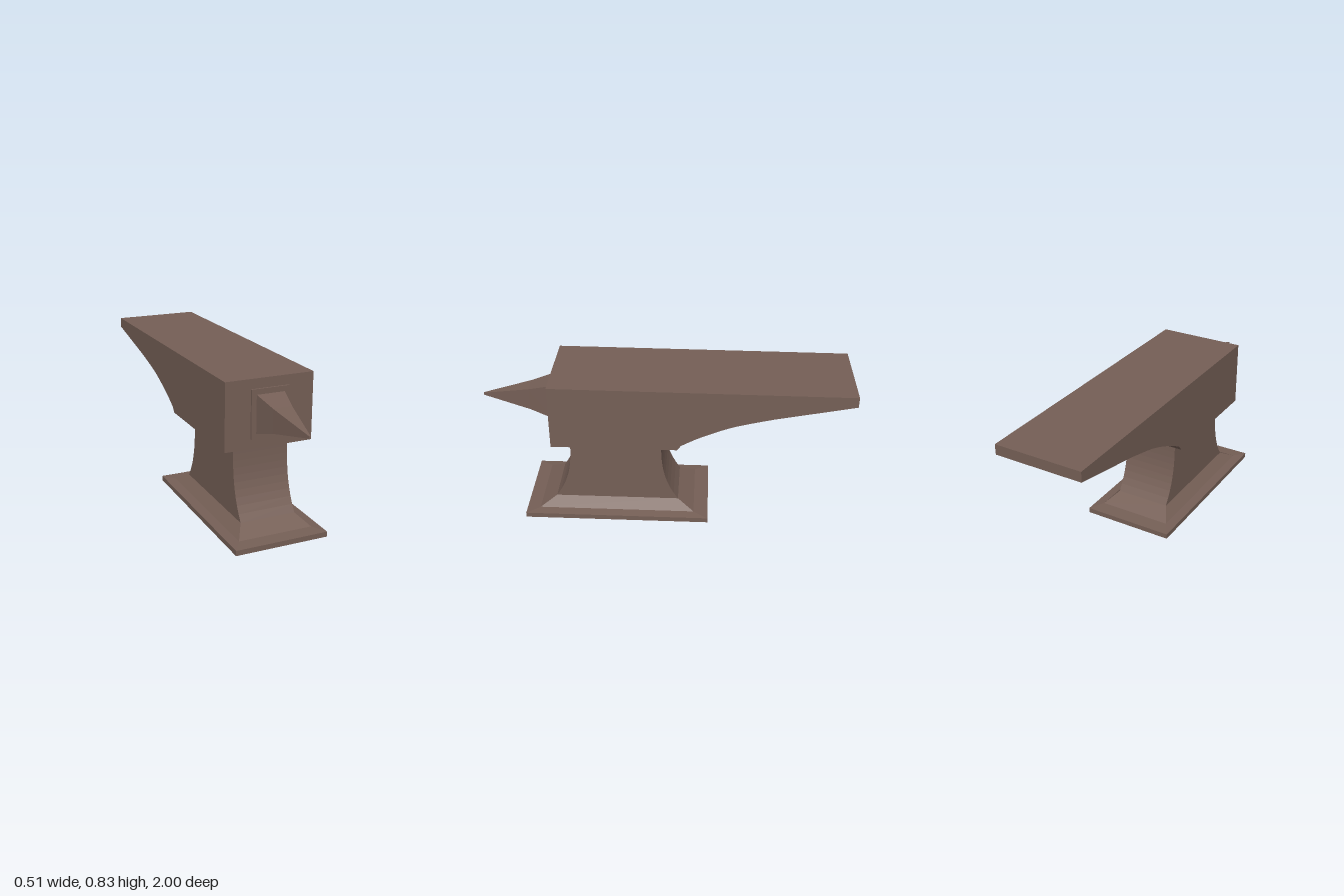
import * as THREE from 'three';

// Stack of rectangles along y; each section is [y, halfWidth, zMin, zMax]
function loft(sections) {
  const rings = sections.map(([y, w, z0, z1]) => [[w, y, z1], [w, y, z0], [-w, y, z0], [-w, y, z1]]);
  const pos = [];
  const quad = (a, b, c, d) => pos.push(...a, ...b, ...c, ...a, ...c, ...d);
  for (let i = 0; i < rings.length - 1; i++) {
    const lo = rings[i], hi = rings[i + 1];
    for (let k = 0; k < 4; k++) {
      const n = (k + 1) % 4;
      quad(lo[k], lo[n], hi[n], hi[k]);
    }
  }
  const top = rings[rings.length - 1], bottom = rings[0];
  quad(top[0], top[1], top[2], top[3]);
  quad(bottom[3], bottom[2], bottom[1], bottom[0]);
  const geo = new THREE.BufferGeometry();
  geo.setAttribute('position', new THREE.Float32BufferAttribute(pos, 3));
  geo.computeVertexNormals();
  return geo;
}

export function createModel() {
  const group = new THREE.Group();
  const iron = new THREE.MeshStandardMaterial({ color: 0x755f56 });
  iron.name = 'brown iron';
  const add = (name, geo) => {
    const mesh = new THREE.Mesh(geo, iron);
    mesh.name = name;
    group.add(mesh);
    return mesh;
  };
  const mid = 0.265; // z centre of the foot and waist

  // Foot slab with a slightly raised top
  add('foot', loft([
    [0, 0.256, -0.25, 0.775], [0.028, 0.256, -0.25, 0.775], [0.034, 0.205, -0.17, 0.7],
  ]));

  // Sloped flange between foot and waist
  add('flange', loft([[0.034, 0.205, -0.17, 0.7], [0.085, 0.154, -0.08, 0.61]]));

  // Waist flares towards the foot at front and back
  const waist = [];
  for (let i = 0; i <= 10; i++) {
    const t = i / 10;
    const half = 0.25 + 0.095 * Math.pow(1 - t, 2.8);
    waist.push([0.085 + 0.375 * t, 0.154, mid - half, mid + half]);
  }
  add('waist', loft(waist));

  // Bevel under the body
  add('collar', loft([[0.46, 0.154, 0.015, 0.515], [0.475, 0.241, -0.075, 0.605]]));

  // Body and heel, drawn in side profile (z, y)
  const profile = new THREE.Shape();
  profile.moveTo(-0.075, 0.475);
  profile.lineTo(0.605, 0.475);
  profile.lineTo(0.605, 0.834);
  profile.lineTo(-1, 0.826);
  profile.lineTo(-1, 0.77);
  profile.lineTo(-0.58, 0.685);
  profile.splineThru([[-0.37, 0.63], [-0.2, 0.56], [-0.095, 0.503]].map(p => new THREE.Vector2(...p)));
  const body = new THREE.ExtrudeGeometry(profile, { depth: 0.482, bevelEnabled: false, curveSegments: 4 });
  body.translate(0, 0, -0.241);
  body.rotateY(-Math.PI / 2);
  add('body', body);

  // Horn backing plate
  const plate = new THREE.BoxGeometry(0.205, 0.257, 0.02);
  plate.translate(0, 0.654, 0.605);
  add('hornPlate', plate);

  // Pyramid horn, lofted upright then turned to point forward
  const horn = loft([
    [0.605, 0.078, -0.757, -0.55], [0.74, 0.051, -0.717, -0.592], [1, 0.004, -0.66, -0.648],
  ]);
  horn.rotateX(Math.PI / 2);
  add('horn', horn);

  return group;
}
